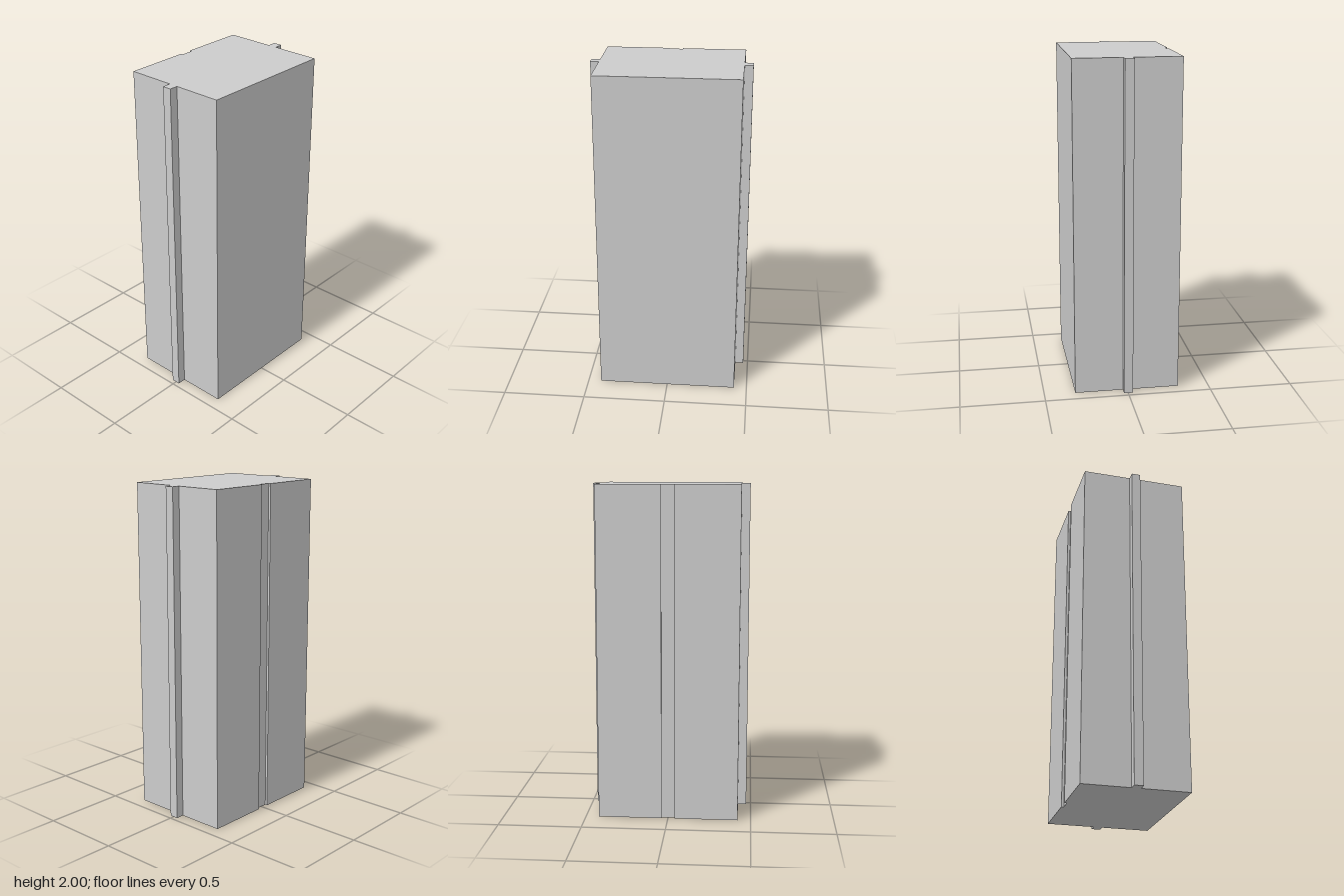
import * as THREE from 'three';

const HEIGHT = 2;
const HALF_W = 0.421;               // body half width
const TIP = 0.472;                  // outer face of the side tongues
const FRONT = 0.314, BACK = -0.315;
const TONGUE_FRONT = 0.025, TONGUE_BACK = -0.029;
const GROOVE = 0.039, GROOVE_Z = -0.301;

export function createModel() {
  const group = new THREE.Group();
  group.name = 'interlockingBlock';

  // Right-hand half of the plan as [x, z], from front to back groove
  const half = [
    [HALF_W, FRONT],
    [HALF_W, TONGUE_FRONT], [TIP, TONGUE_FRONT],
    [TIP, TONGUE_BACK], [HALF_W, TONGUE_BACK],
    [HALF_W, BACK],
    [GROOVE, BACK], [GROOVE, GROOVE_Z],
  ];
  const mirrored = half.map(([x, z]) => [-x, z]).reverse();
  const outline = [...half, ...mirrored].map(([x, z]) => new THREE.Vector2(x, -z));

  // Plan extruded upward: body, two side tongues and the back groove in one solid
  const geometry = new THREE.ExtrudeGeometry(new THREE.Shape(outline), {
    depth: HEIGHT,
    bevelEnabled: false,
  });
  geometry.rotateX(-Math.PI / 2);

  const block = new THREE.Mesh(
    geometry,
    new THREE.MeshStandardMaterial({ color: 0xcccccc, flatShading: true })
  );
  block.name = 'blockWithTonguesAndGroove';
  group.add(block);
  return group;
}
